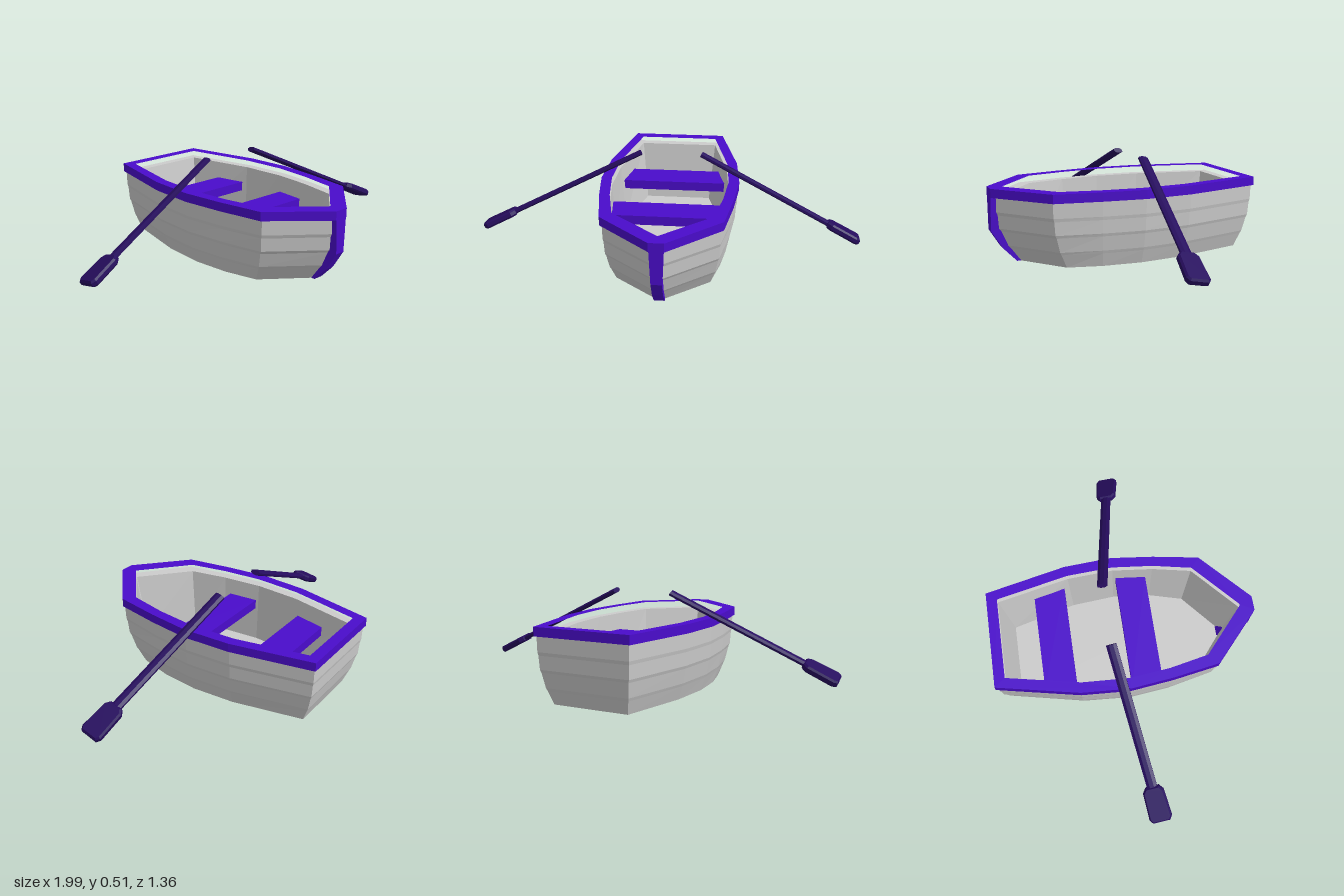
import * as THREE from 'three';

const paint = (color, extra = {}) => new THREE.MeshStandardMaterial({ color, ...extra });
const grey = paint(0xcccccc, { flatShading: true });
const purple = paint(0x4a0ccb);
const dark = paint(0x260c5e, { flatShading: true });

// Half outlines [x, z] from bow to stern
const RIM_OUT = [[0.037, 0.68], [0.295, 0.447], [0.335, 0.21], [0.36, -0.01], [0.345, -0.26], [0.255, -0.68]];
const RIM_IN = [[0.003, 0.61], [0.242, 0.40], [0.283, 0.20], [0.305, -0.01], [0.292, -0.25], [0.213, -0.625]];
const FLOOR = [[0.003, 0.55], [0.22, 0.37], [0.27, 0.19], [0.29, -0.01], [0.272, -0.24], [0.185, -0.578]];
const HULL_LOW = [[0.015, 0.54], [0.235, 0.362], [0.278, 0.19], [0.297, -0.01], [0.28, -0.24], [0.2, -0.602]];
const HULL_TOP = [[0.02, 0.665], [0.283, 0.445], [0.328, 0.21], [0.353, -0.01], [0.337, -0.26], [0.245, -0.67]];

const closed = half => [...half, ...[...half].reverse().map(([x, z]) => [-x, z])];
const blend = (f) => HULL_LOW.map(([x, z], i) => [x + (HULL_TOP[i][0] - x) * f, z + (HULL_TOP[i][1] - z) * f]);

// Skin through a stack of rings, capped at both ends
function loft(rings) {
  const pos = [];
  const loops = rings.map(([y, half]) => closed(half).map(([x, z]) => [x, y, z]));
  const n = loops[0].length;
  for (let j = 0; j < n; j++) {
    const k = (j + 1) % n;
    for (let i = 0; i < loops.length - 1; i++) {
      const [a, b, c, d] = [loops[i][j], loops[i][k], loops[i + 1][k], loops[i + 1][j]];
      pos.push(...a, ...b, ...c, ...a, ...c, ...d);
    }
    const first = loops[0], last = loops[loops.length - 1];
    pos.push(0, first[0][1], 0, ...first[k], ...first[j]);
    pos.push(0, last[0][1], 0, ...last[j], ...last[k]);
  }
  const g = new THREE.BufferGeometry();
  g.setAttribute('position', new THREE.Float32BufferAttribute(pos, 3));
  g.computeVertexNormals();
  return g;
}

const toPoints = list => list.map(([x, y]) => new THREE.Vector2(x, y));

export function createModel() {
  const boat = new THREE.Group();
  boat.name = 'rowingBoat';
  const add = (name, geometry, material, parent = boat) => {
    const mesh = new THREE.Mesh(geometry, material);
    mesh.name = name;
    parent.add(mesh);
    return mesh;
  };

  // Lapped planks outside, smooth wall and floor inside
  const planks = [[0, 0], [0.07, 0.40], [0.085, 0.5], [0.16, 0.75], [0.175, 0.84],
    [0.243, 0.91], [0.26, 0.97], [0.34, 1]];
  add('hull', loft([...planks.map(([y, f]) => [y, blend(f)]), [0.34, RIM_IN], [0.015, FLOOR]]), grey);

  // Rim around the top edge
  const rimShape = new THREE.Shape(toPoints(closed(RIM_OUT)));
  rimShape.holes.push(new THREE.Path(toPoints(closed(RIM_IN))));
  const rim = new THREE.ExtrudeGeometry(rimShape, { depth: 0.045, bevelEnabled: false });
  rim.rotateX(Math.PI / 2).translate(0, 0.38, 0);
  add('rim', rim, purple);

  // Stem post following the bow, wider at the top
  const stemShape = new THREE.Shape(toPoints([[0.552, 0], [0.622, 0.072], [0.68, 0.165], [0.68, 0.336],
    [0.63, 0.336], [0.63, 0.18], [0.58, 0.09], [0.515, 0]]));
  const stem = new THREE.ExtrudeGeometry(stemShape, { depth: 0.052, bevelEnabled: false });
  stem.translate(0, 0, -0.026).rotateY(-Math.PI / 2);
  const sp = stem.attributes.position;
  for (let i = 0; i < sp.count; i++) if (sp.getY(i) > 0.3) sp.setX(i, sp.getX(i) * 1.3);
  stem.computeVertexNormals();
  add('stem', stem, purple);

  // Benches, tapered with the hull
  for (const [name, z0, z1, w0, w1] of [['rearBench', -0.44, -0.275, 0.262, 0.295], ['frontBench', 0.005, 0.165, 0.307, 0.288]]) {
    const shape = new THREE.Shape(toPoints([[-w0, z0], [w0, z0], [w1, z1], [-w1, z1]]));
    const bench = new THREE.ExtrudeGeometry(shape, { depth: 0.05, bevelEnabled: false });
    bench.rotateX(Math.PI / 2).translate(0, 0.25, 0);
    add(name, bench, purple);
  }

  // Oars: local x runs from grip to blade tip, local z across the blade
  for (const side of [1, -1]) {
    const grip = new THREE.Vector3(side * 0.158, 0.5, -0.08);
    const tip = new THREE.Vector3(side * 0.987, 0.105, 0.052);
    const along = tip.clone().sub(grip);
    const length = along.length();
    along.normalize();
    const across = new THREE.Vector3(side * -0.066, 0.2, 1);
    across.addScaledVector(along, -across.dot(along)).normalize();
    const oar = new THREE.Group();
    oar.name = side > 0 ? 'leftOar' : 'rightOar';
    oar.applyMatrix4(new THREE.Matrix4().makeBasis(along, across.clone().cross(along), across).setPosition(grip));
    boat.add(oar);

    const shaft = new THREE.CylinderGeometry(0.5, 0.5, length - 0.1, 8);
    shaft.rotateY(Math.PI / 8).rotateZ(Math.PI / 2).scale(1, 0.028, 0.056);
    add('shaft', shaft.translate((length - 0.1) / 2, 0, 0), dark, oar);

    const L = length - 0.008;
    const bladeShape = new THREE.Shape(toPoints([[L - 0.17, -0.03], [L - 0.15, -0.045], [L - 0.015, -0.05], [L, -0.04],
      [L, 0.04], [L - 0.015, 0.05], [L - 0.15, 0.045], [L - 0.17, 0.03]]));
    const blade = new THREE.ExtrudeGeometry(bladeShape,
      { depth: 0.018, bevelEnabled: true, bevelSize: 0.008, bevelThickness: 0.009, bevelSegments: 1 });
    add('blade', blade.translate(0, 0, -0.009).rotateX(Math.PI / 2), dark, oar);
  }
  return boat;
}
